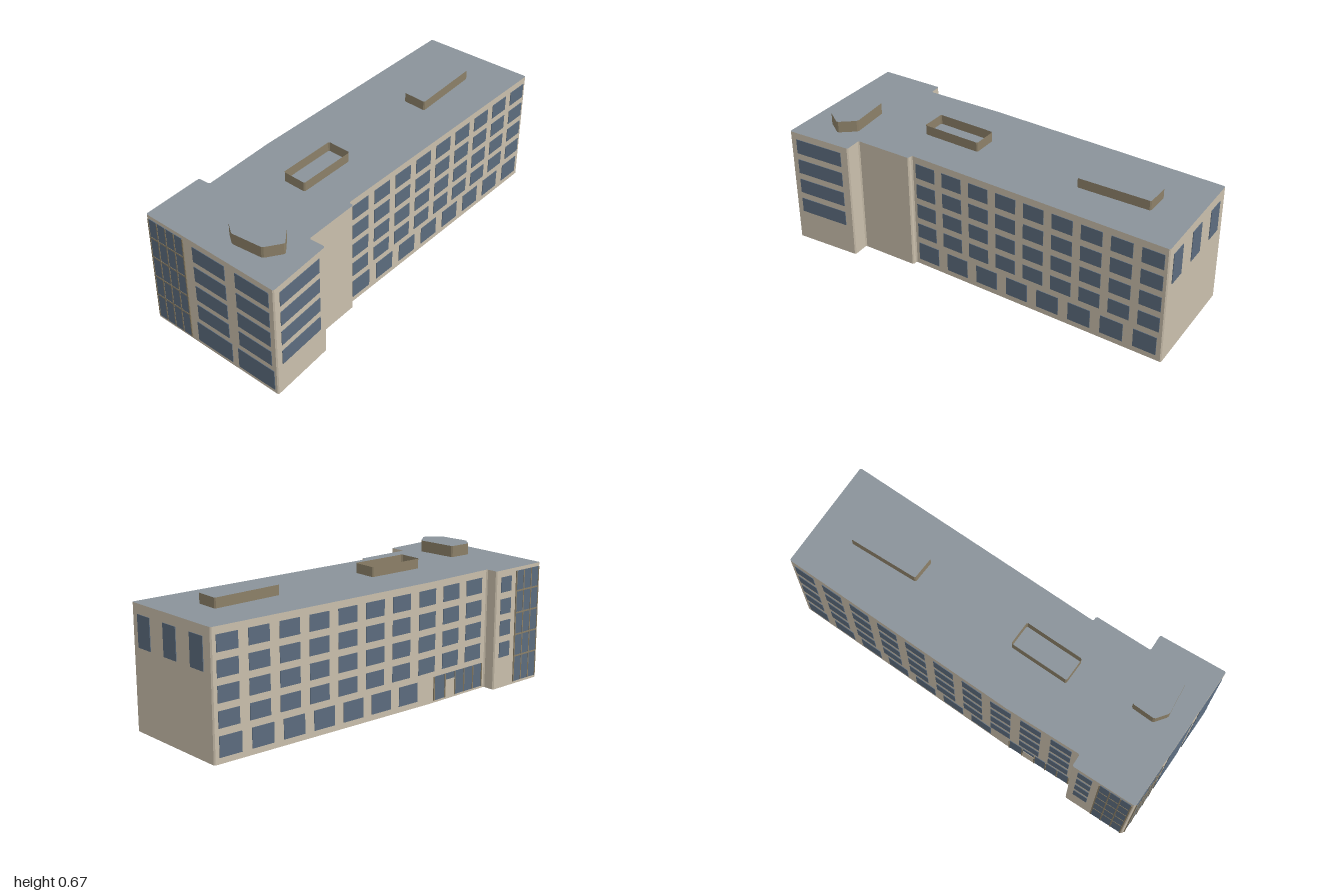
import * as THREE from 'three';

const H = 0.608;
const material = (name, color) => {
  const m = new THREE.MeshStandardMaterial({ color, side: THREE.DoubleSide });
  m.name = name;
  return m;
};

// Cuts every corner of a plan outline by a small amount
function chamfer(pts, c) {
  const out = [];
  pts.forEach((p, i) => {
    const v = new THREE.Vector2(...p);
    for (const q of [pts.at(i - 1), pts[(i + 1) % pts.length]]) {
      const d = new THREE.Vector2(...q).sub(v).setLength(c);
      out.push([v.x + d.x, v.y + d.y]);
    }
  });
  return out;
}

// Open vertical walls around a closed plan outline
function wallRibbon(pts, y0, y1) {
  const pos = [];
  pts.forEach(([ax, az], i) => {
    const [bx, bz] = pts[(i + 1) % pts.length];
    pos.push(ax, y0, az, bx, y1, bz, bx, y0, bz, ax, y0, az, ax, y1, az, bx, y1, bz);
  });
  const g = new THREE.BufferGeometry();
  g.setAttribute('position', new THREE.Float32BufferAttribute(pos, 3));
  g.computeVertexNormals();
  return g;
}

// Flat cap over a plan outline
function cap(pts, y) {
  const shape = new THREE.Shape(pts.map(([x, z]) => new THREE.Vector2(x, -z)));
  return new THREE.ShapeGeometry(shape).rotateX(-Math.PI / 2).translate(0, y, 0);
}

export function createModel() {
  const model = new THREE.Group();
  const wall = material('cream wall', 0xcabfac);
  const roof = material('grey roof', 0x8a939a);
  const glass = material('blue glass', 0x5c6c7e);
  const trim = material('brown trim', 0x8c8068);

  const add = (name, geo, mat, parent = model) => {
    const m = new THREE.Mesh(geo, mat);
    m.name = name;
    parent.add(m);
    return m;
  };

  // Plan corners [x, z], from the back along the +x side and round the front
  const backR = [0.33, -1], wingR = [0.265, 0.36], frontR = [0.38, 0.997];
  const headR = [0.371, 0.655], frontL = [-0.38, 0.967], headL = [-0.375, 0.64];
  const wingL = [-0.312, 0.64], bendL = [-0.31, 0.25], backL = [-0.25, -1];
  const plan = chamfer([backR, wingR, [0.291, 0.36], [0.285, 0.655], headR, frontR,
    frontL, headL, wingL, bendL, backL], 0.006);
  add('walls', wallRibbon(plan, 0, H), wall);
  add('roof', cap(plan, H), roof);

  // Thin plate on the wall a-b, spanning u0..u1 in x (k = 0) or z (k = 1)
  function panel(name, mat, parent, a, b, k, u0, u1, y0, y1, depth = 0.003) {
    const at = u => {
      const t = (u - a[k]) / (b[k] - a[k]);
      return new THREE.Vector2(a[0] + (b[0] - a[0]) * t, a[1] + (b[1] - a[1]) * t);
    };
    const p = at(u0), q = at(u1);
    const n = new THREE.Vector2(b[1] - a[1], a[0] - b[0]).normalize();
    const m = add(name, new THREE.BoxGeometry(p.distanceTo(q), y1 - y0, depth), mat, parent);
    const off = depth / 2 + 0.0004;
    m.position.set((p.x + q.x) / 2 + n.x * off, (y0 + y1) / 2, (p.y + q.y) / 2 + n.y * off);
    m.rotation.y = Math.atan2(n.x, n.y);
  }
  const group = name => {
    const g = new THREE.Group();
    g.name = name;
    model.add(g);
    return g;
  };

  const upper = [0, 1, 2, 3].map(i => [0.161 + i * 0.1117, 0.244 + i * 0.1117]);
  const sideUpper = upper.map(([a, b]) => [a, b - 0.006]);
  // Grid of windows: first centre, pitch, count and width along the wall
  function windows(name, a, b, k, first, pitch, count, width, rows) {
    const g = group(name);
    for (const [y0, y1] of rows)
      for (let i = 0; i < count; i++) {
        const c = first + i * pitch;
        panel('window', glass, g, a, b, k, c - width / 2, c + width / 2, y0, y1);
      }
  }
  const ground = [[0.03, 0.126]];
  windows('frontWindows', frontR, frontL, 0, 0.001, 0.254, 2, 0.192, upper);
  windows('frontGroundWindows', frontR, frontL, 0, 0, 0.254, 2, 0.216, [[0.02, 0.132]]);
  windows('leftHeadWindows', headR, frontR, 1, 0.83, 0, 1, 0.262, sideUpper);
  windows('leftWingWindows', backR, wingR, 1, -0.925, 0.151, 9, 0.108, sideUpper);
  windows('leftGroundWindows', backR, wingR, 1, -0.913, 0.17, 8, 0.117, ground);
  windows('rightHeadWindows', frontL, headL, 1, 0.712, 0, 1, 0.075, sideUpper);
  windows('backWindows', backL, backR, 0, -0.148, 0.195, 3, 0.094, [[0.405, 0.56]]);

  // The right wing wall bends slightly, so its windows follow two segments
  windows('rightWingWindows', bendL, backL, 1, -0.92, 0.163, 7, 0.11, sideUpper);
  windows('rightWingFrontWindows', wingL, bendL, 1, 0.221, 0.163, 3, 0.11, sideUpper);
  windows('rightGroundWindows', bendL, backL, 1, -0.915, 0.17, 7, 0.117, ground);

  // Glazed entrance with a pale door
  const entry = group('entrance');
  panel('entranceGlass', glass, entry, wingL, bendL, 1, 0.275, 0.615, 0.012, 0.132);
  panel('entranceDoor', wall, entry, wingL, bendL, 1, 0.355, 0.415, 0.012, 0.1, 0.005);
  for (const z of [0.275, 0.35, 0.42, 0.485, 0.55, 0.615])
    panel('entranceMullion', trim, entry, wingL, bendL, 1, z - 0.003, z + 0.003, 0.012, 0.132, 0.006);

  // Tall corner glazing with mullions and floor bands
  function curtainWall(name, a, b, k, u0, u1, columns) {
    const g = group(name);
    panel('curtainGlass', glass, g, a, b, k, u0, u1, 0.014, 0.59);
    for (let i = 0; i <= columns; i++) {
      const u = u0 + (u1 - u0) * i / columns;
      panel('mullion', trim, g, a, b, k, u - 0.003, u + 0.003, 0.014, 0.59, 0.005);
    }
    for (const y of [0.148, 0.261, 0.374, 0.487])
      panel('floorBand', trim, g, a, b, k, u0, u1, y - 0.004, y + 0.004, 0.0045);
  }
  curtainWall('frontCurtainWall', frontR, frontL, 0, -0.366, -0.153, 4);
  curtainWall('sideCurtainWall', frontL, headL, 1, 0.787, 0.953, 3);

  // Rooftop structures; the middle one is an open screen
  const units = [
    ['frontPenthouse', [[0, 0.722], [0.21, 0.712], [0.271, 0.792], [0.212, 0.872], [0.05, 0.884], [-0.008, 0.838]], 0.666, true],
    ['rearPenthouse', [[-0.02, -0.805], [0.106, -0.8], [0.104, -0.432], [-0.02, -0.44]], 0.657, true],
    ['roofScreen', [[-0.05, 0.11], [0.075, 0.116], [0.061, 0.42], [-0.064, 0.414]], 0.657, false]
  ];
  for (const [name, pts, top, closed] of units) {
    const g = group(name);
    add('unitWalls', wallRibbon(chamfer(pts, 0.006), H, top), trim, g);
    if (closed) add('unitRoof', cap(chamfer(pts, 0.006), top), roof, g);
  }
  return model;
}
